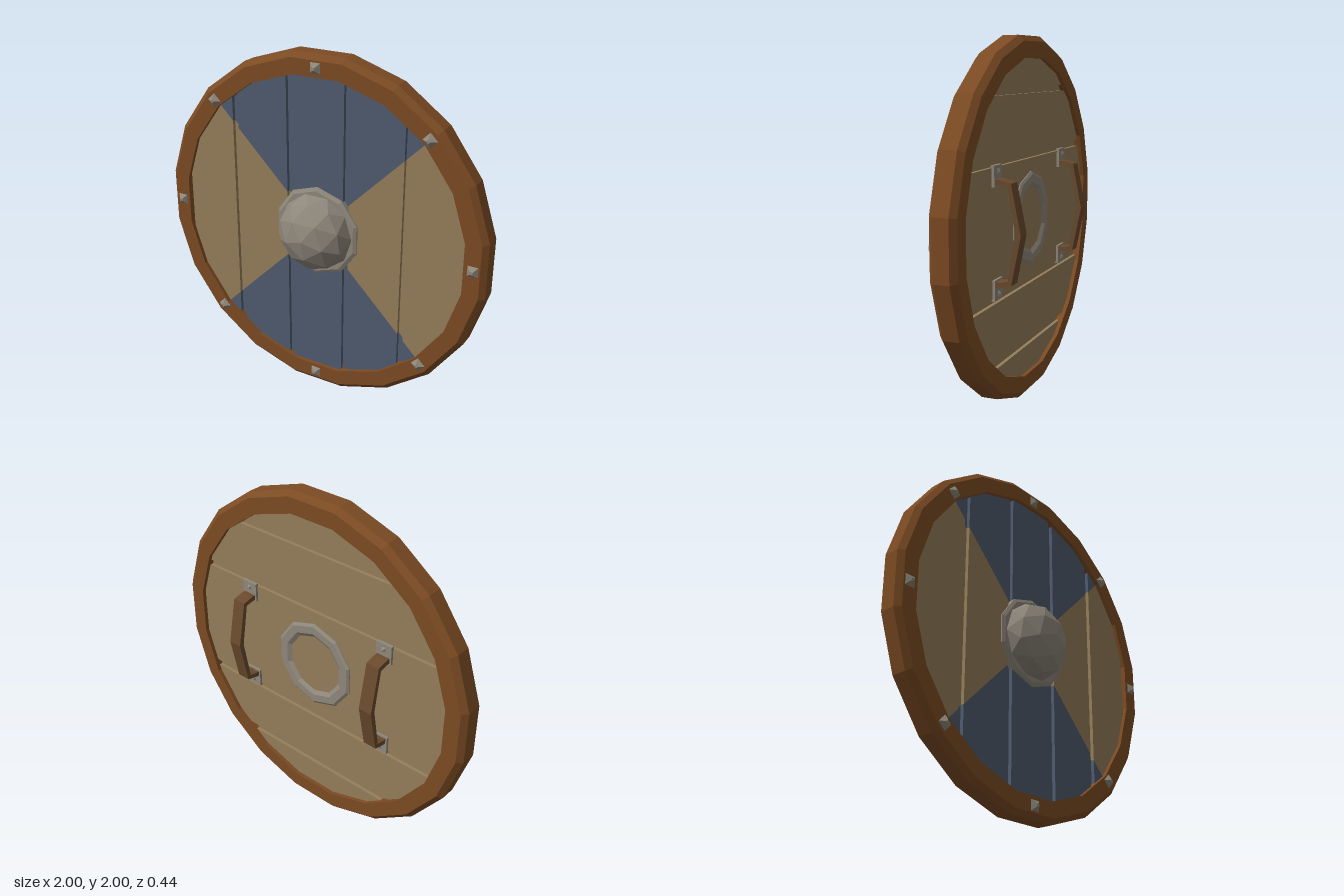
import * as THREE from 'three';

const mat = (name, color) => {
  const m = new THREE.MeshStandardMaterial({ color });
  m.name = name;
  return m;
};

// Faceted normals
const facet = (geo) => {
  const g = geo.index ? geo.toNonIndexed() : geo;
  g.computeVertexNormals();
  return g;
};

// Lathe about the z axis from [radius, z] points
const turned = (points, sides, start = 0) =>
  facet(new THREE.LatheGeometry(points.map(([r, z]) => new THREE.Vector2(r, z)), sides, start).rotateX(Math.PI / 2));

// Keep the part of a convex polygon where a*x + b*y >= c
function clip(poly, [a, b, c]) {
  const out = [];
  poly.forEach((p, i) => {
    const q = poly[(i + 1) % poly.length];
    const dp = a * p.x + b * p.y - c, dq = a * q.x + b * q.y - c;
    if (dp >= 0) out.push(p);
    if (dp * dq < 0) out.push(p.clone().lerp(q, dp / (dp - dq)));
  });
  return out;
}

export function createModel() {
  const model = new THREE.Group();
  const shield = new THREE.Group();
  shield.name = 'shield';
  shield.position.y = 1;
  model.add(shield);

  const rimWood = mat('rim wood', 0x7c4b23);
  const plankWood = mat('plank wood', 0x957e5a);
  const bluePaint = mat('blue paint', 0x4f5b6e);
  const iron = mat('iron', 0x8e877b);
  const leather = mat('handle brown', 0x6a4a2d);

  const add = (name, geo, material, parent = shield) => {
    const m = new THREE.Mesh(geo, material);
    m.name = name;
    parent.add(m);
    return m;
  };

  // Rim: twenty-sided ring with chamfered outer edges
  const SIDES = 20;
  const k = 1 / Math.cos(Math.PI / SIDES);
  const rim = [[0.88, -0.088], [0.97, -0.088], [1, -0.058], [1, 0.03], [0.97, 0.058], [0.88, 0.058], [0.88, -0.088]];
  add('rim', turned(rim.map(([r, z]) => [r * k, z]), SIDES, Math.PI / SIDES), rimWood);

  // Board pieces: the disc cut by straight lines and given a thickness
  const disc = Array.from({ length: SIDES }, (_, i) => {
    const a = ((i + 0.5) / SIDES) * Math.PI * 2;
    return new THREE.Vector2(Math.cos(a), Math.sin(a)).multiplyScalar(0.9 * k);
  });
  const board = (name, cuts, z0, z1, material) => {
    const poly = cuts.reduce(clip, disc);
    if (poly.length < 3) return;
    const geo = new THREE.ExtrudeGeometry(new THREE.Shape(poly), { depth: z1 - z0, bevelEnabled: false });
    add(name, geo.translate(0, 0, z0), material);
  };

  // Front: upright planks over a painted base, in four alternating quarters
  const quarters = [
    [[[1, 1, 0], [-1, 1, 0]], bluePaint],
    [[[1, -1, 0], [-1, -1, 0]], bluePaint],
    [[[1, 1, 0], [1, -1, 0]], plankWood],
    [[[-1, 1, 0], [-1, -1, 0]], plankWood],
  ];
  const pitch = 0.355, gap = 0.0175;
  for (const [cuts, material] of quarters) {
    board('frontBase', cuts, -0.01, 0.015, material);
    for (let i = -2; i <= 2; i++) {
      const lo = (i - 0.5) * pitch + gap, hi = (i + 0.5) * pitch - gap;
      board('frontPlank', [...cuts, [1, 0, lo], [-1, 0, -hi]], 0.015, 0.036, material);
    }
  }

  // Back: level planks with a wide middle one
  board('backBase', [], -0.045, -0.01, plankWood);
  const seams = [-1, -2 * pitch, -pitch, pitch, 2 * pitch, 1];
  for (let i = 0; i < 5; i++) {
    board('backPlank', [[0, 1, seams[i] + gap], [0, -1, gap - seams[i + 1]]], -0.065, -0.045, plankWood);
  }

  // Boss: flanged plate, hollow behind, with a faceted dome in front
  add('bossFlange', turned([
    [0, -0.045], [0.165, -0.055], [0.205, -0.08], [0.25, -0.08], [0.265, -0.07],
    [0.265, 0.044], [0.245, 0.054], [0, 0.054],
  ], 10), iron);
  const dome = new THREE.IcosahedronGeometry(1, 1).rotateX(Math.atan2(2, 1 + Math.sqrt(5)));
  const dp = dome.attributes.position;
  for (let i = 0; i < dp.count; i++) dp.setZ(i, Math.max(0, dp.getZ(i)));
  add('bossDome', facet(dome.scale(0.226, 0.226, 0.17).translate(0, 0, 0.05)), iron);

  // Pyramid studs around the rim
  const stud = (r, h) => facet(new THREE.CylinderGeometry(r * 0.25, r, h, 4)
    .rotateY(Math.PI / 4).rotateX(Math.PI / 2).translate(0, 0, h / 2));
  const rimStud = stud(0.045, 0.024);
  for (let i = 0; i < 8; i++) {
    const a = (i * Math.PI) / 4;
    const m = add('rimStud', rimStud, iron);
    m.position.set(0.93 * Math.cos(a), 0.93 * Math.sin(a), 0.056);
    m.rotation.z = a;
  }

  // Handles: bent straps on small iron plates; [distance behind, height]
  const strap = [
    [0.06, 0.28], [0.1, 0.278], [0.165, 0.262], [0.218, 0], [0.165, -0.262], [0.1, -0.278], [0.06, -0.28],
    [0.06, -0.25], [0.1, -0.25], [0.146, -0.24], [0.188, 0], [0.146, 0.24], [0.1, 0.25], [0.06, 0.25],
  ].map(([d, y]) => new THREE.Vector2(d, y));
  const strapGeo = new THREE.ExtrudeGeometry(new THREE.Shape(strap), { depth: 0.08, bevelEnabled: false })
    .translate(0, 0, -0.04).rotateY(Math.PI / 2);
  const plateGeo = new THREE.BoxGeometry(0.1, 0.11, 0.02);
  const plateStud = stud(0.018, 0.012).rotateY(Math.PI);
  for (const side of [1, -1]) {
    const handle = new THREE.Group();
    handle.name = side > 0 ? 'leftHandle' : 'rightHandle';
    handle.position.x = side * 0.48;
    shield.add(handle);
    add('strap', strapGeo, leather, handle);
    for (const end of [1, -1]) {
      add('mountPlate', plateGeo, iron, handle).position.set(0, end * 0.295, -0.069);
      add('mountStud', plateStud, iron, handle).position.set(0, end * 0.318, -0.079);
    }
  }

  return model;
}
